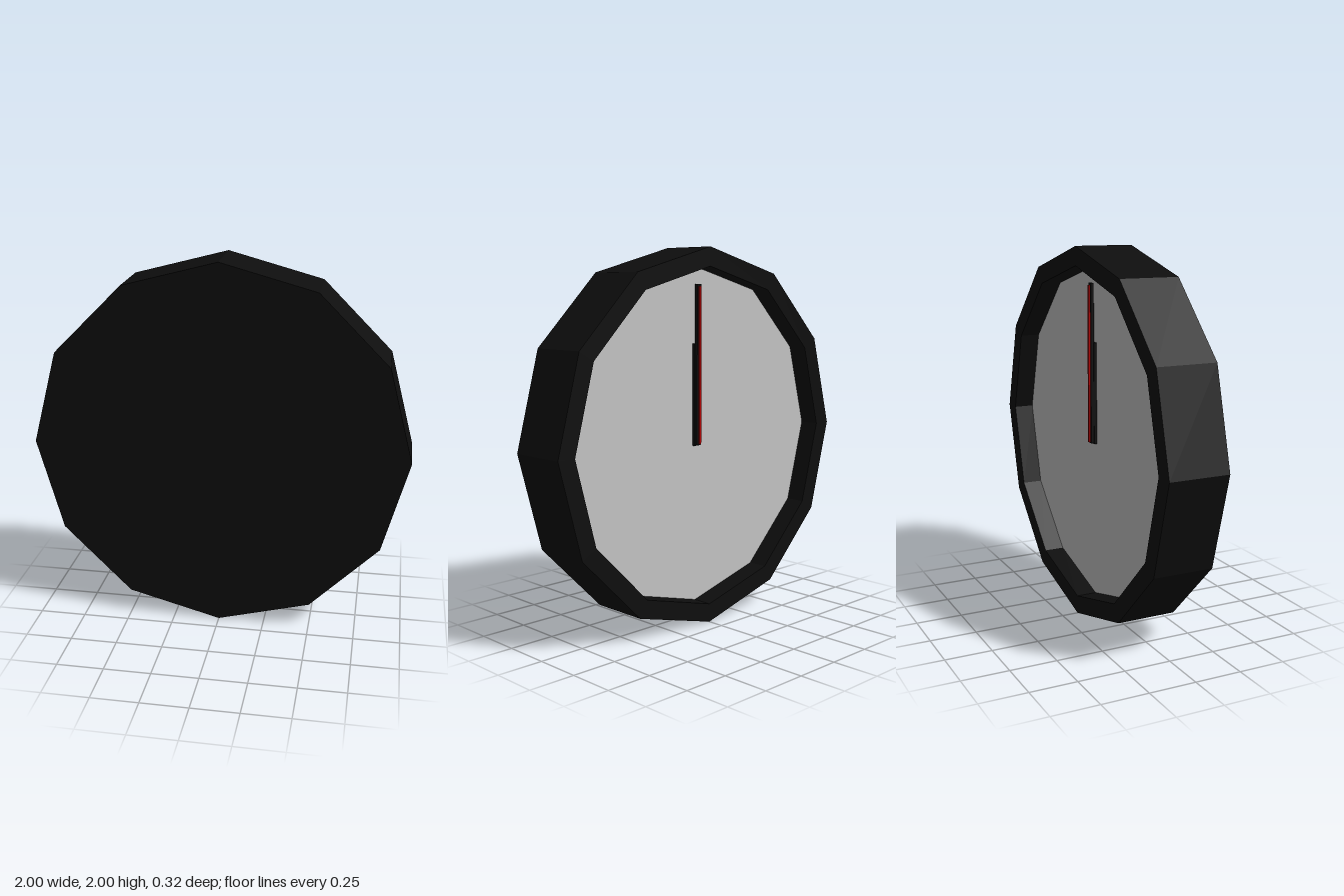
import * as THREE from 'three';

export function createModel() {
  const black = new THREE.MeshStandardMaterial({ color: 0x0e0e0e });
  black.name = 'black';
  const grey = new THREE.MeshStandardMaterial({ color: 0xc4c4c4 });
  grey.name = 'dial grey';
  const red = new THREE.MeshStandardMaterial({ color: 0xb00000 });
  red.name = 'red';

  const clock = new THREE.Group();
  clock.name = 'wallClock';
  const add = (name, geometry, material, x, y, z) => {
    const mesh = new THREE.Mesh(geometry, material);
    mesh.name = name;
    mesh.position.set(x, y, z);
    clock.add(mesh);
    return mesh;
  };

  // Twelve-sided casing with a raised rim, the dial side facing -z
  const profile = [[0, -0.16], [1, -0.16], [1, 0.16], [0.9, 0.16], [0.9, 0.045]]
    .map(([r, h]) => new THREE.Vector2(r, h));
  const casing = new THREE.LatheGeometry(profile, 12).rotateX(-Math.PI / 2).toNonIndexed();
  casing.computeVertexNormals();
  add('casing', casing, black, 0, 1, 0);

  // Recessed dial
  add('dial', new THREE.CircleGeometry(0.9, 12).rotateY(Math.PI), grey, 0, 1, -0.05);

  // Hands, all pointing straight up and stacked outward from the dial
  const hand = (name, material, width, bottom, top, zIn, zOut) =>
    add(name, new THREE.BoxGeometry(width, top - bottom, zIn - zOut), material,
      0, 1 + (bottom + top) / 2, (zIn + zOut) / 2);
  hand('hourHand', black, 0.04, -0.045, 0.5, -0.05, -0.065);
  hand('minuteHand', black, 0.03, -0.04, 0.81, -0.064, -0.08);
  hand('secondHand', red, 0.012, -0.035, 0.8, -0.079, -0.09);

  return clock;
}
